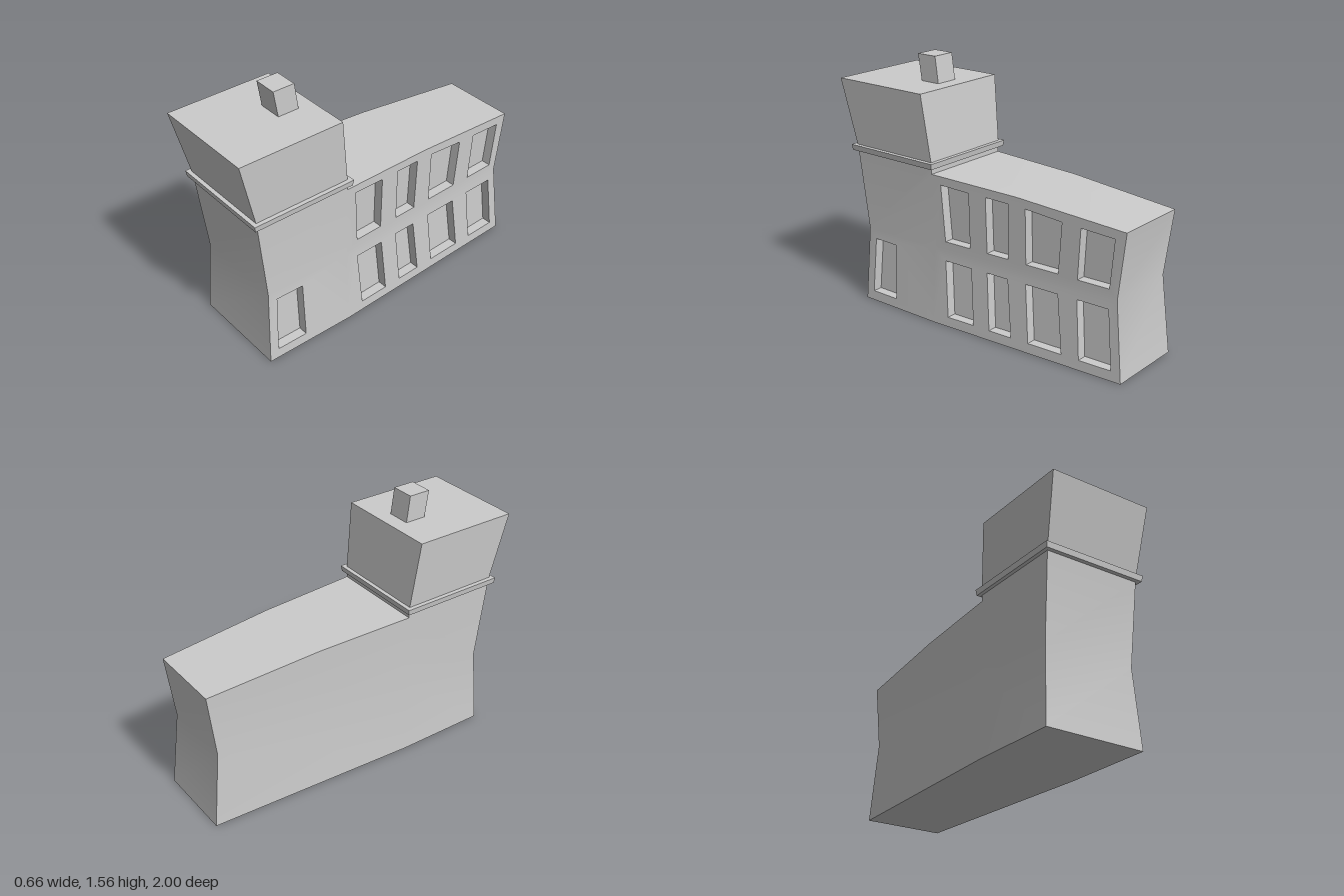
import * as THREE from 'three';
import { toCreasedNormals } from 'three/addons/utils/BufferGeometryUtils.js';

const WAIST = 0.47, NECK = 0.97, JOIN = 0.3, DEPTH = 0.06;
const lerp = THREE.MathUtils.lerp;
const material = new THREE.MeshStandardMaterial({ color: 0xcccccc });

// Half width of the building: pinched at the waist, tapering along the wing.
function halfWidth(y, z) {
  const base = z > JOIN ? 0.31 : lerp(0.31, 0.245, (JOIN - z) / (1 + JOIN));
  const pinch = y < WAIST ? lerp(1, 0.92, y / WAIST) : lerp(0.92, 0.97, (y - WAIST) / (NECK - WAIST));
  return base * pinch;
}

// Wall outlines as [z, y], counter-clockwise seen from the left (+x) side.
const panels = {
  towerLower: [[0.87, 0], [JOIN, 0], [JOIN, WAIST], [0.845, WAIST]],
  towerUpper: [[0.845, WAIST], [JOIN, WAIST], [JOIN, 0.93], [JOIN, NECK], [0.9, NECK]],
  wingLower: [[JOIN, 0], [-1, 0], [-0.95, WAIST], [JOIN, WAIST]],
  wingUpper: [[JOIN, WAIST], [-0.95, WAIST], [-1, 0.865], [-0.3, 0.915], [JOIN, 0.93]],
};

// Crooked window openings, same order of corners.
const lowerWindow = (b0, b1, t0, t1) => [[b0, 0.06], [b1, 0.06], [t1, 0.408], [t0, 0.41]];
const windows = {
  towerLower: [lowerWindow(0.81, 0.615, 0.79, 0.615)],
  towerUpper: [],
  wingLower: [
    lowerWindow(0.19, 0, 0.215, 0.025),
    lowerWindow(-0.115, -0.27, -0.09, -0.235),
    lowerWindow(-0.39, -0.615, -0.36, -0.575),
    lowerWindow(-0.73, -0.935, -0.7, -0.9),
  ],
  wingUpper: [
    [[0.215, 0.53], [0.033, 0.53], [0.033, 0.868], [0.235, 0.877]],
    [[-0.09, 0.53], [-0.238, 0.53], [-0.245, 0.863], [-0.087, 0.868]],
    [[-0.36, 0.528], [-0.575, 0.528], [-0.6, 0.835], [-0.36, 0.858]],
    [[-0.7, 0.525], [-0.9, 0.525], [-0.93, 0.815], [-0.72, 0.828]],
  ],
};

function buildBody() {
  const positions = [];
  const tri = (a, b, c) => positions.push(...a, ...b, ...c);
  const quad = (a, b, c, d) => { tri(a, b, c); tri(a, c, d); };
  const wallPoint = ([z, y], side = 1, inset = 0) => [side * (halfWidth(y, z) - inset), y, z];
  const toVectors = (pts) => pts.map(([z, y]) => new THREE.Vector2(-z, y));

  // Flat panel with holes, bent onto the wall surface.
  function panel(outline, holes, side, inset = 0) {
    const shape = new THREE.Shape(toVectors(outline));
    shape.holes = holes.map((h) => new THREE.Path(toVectors(h).reverse()));
    const geo = new THREE.ShapeGeometry(shape).toNonIndexed();
    const p = geo.attributes.position;
    for (let i = 0; i < p.count; i += 3) {
      const [a, b, c] = [0, 1, 2].map((k) => wallPoint([-p.getX(i + k), p.getY(i + k)], side, inset));
      if (side > 0) tri(a, b, c); else tri(a, c, b);
    }
  }

  for (const name in panels) {
    panel(panels[name], windows[name], 1);
    panel(panels[name], [], -1);
    // Recessed panes and their reveals
    for (const w of windows[name]) {
      panel(w, [], 1, DEPTH);
      w.forEach((a, i) => {
        const b = w[(i + 1) % 4];
        quad(wallPoint(a), wallPoint(b), wallPoint(b, 1, DEPTH), wallPoint(a, 1, DEPTH));
      });
    }
  }

  // Strips across the building: front, tower back, roof, wing back, underside
  const loop = [[0.87, 0], [0.845, WAIST], [0.9, NECK], [JOIN, NECK], [JOIN, 0.93],
    [-0.3, 0.915], [-1, 0.865], [-0.95, WAIST], [-1, 0], [JOIN, 0]];
  loop.forEach((a, i) => {
    const b = loop[(i + 1) % loop.length];
    quad(wallPoint(a, -1), wallPoint(a), wallPoint(b), wallPoint(b, -1));
  });

  const geo = new THREE.BufferGeometry();
  geo.setAttribute('position', new THREE.Float32BufferAttribute(positions, 3));
  return toCreasedNormals(geo, Math.PI / 7);
}

// Leaning, flaring block; each level is [y, half width, back z, front z].
function block(bottom, top) {
  const geo = new THREE.BoxGeometry(1, 1, 1).toNonIndexed();
  const p = geo.attributes.position;
  for (let i = 0; i < p.count; i++) {
    const [y, w, back, front] = p.getY(i) > 0 ? top : bottom;
    p.setXYZ(i, Math.sign(p.getX(i)) * w, y, p.getZ(i) > 0 ? front : back);
  }
  geo.computeVertexNormals();
  return geo;
}

export function createModel() {
  const group = new THREE.Group();
  const add = (name, geo) => {
    const mesh = new THREE.Mesh(geo, material);
    mesh.name = name;
    group.add(mesh);
  };
  add('body', buildBody());
  add('ledge', block([0.965, 0.323, 0.28, 0.925], [1, 0.328, 0.275, 0.93]));
  add('towerTop', block([1, 0.302, 0.3, 0.905], [1.4, 0.327, 0.348, 1]));
  add('chimney', block([1.4, 0.073, 0.443, 0.575], [1.56, 0.073, 0.465, 0.6]));
  return group;
}
